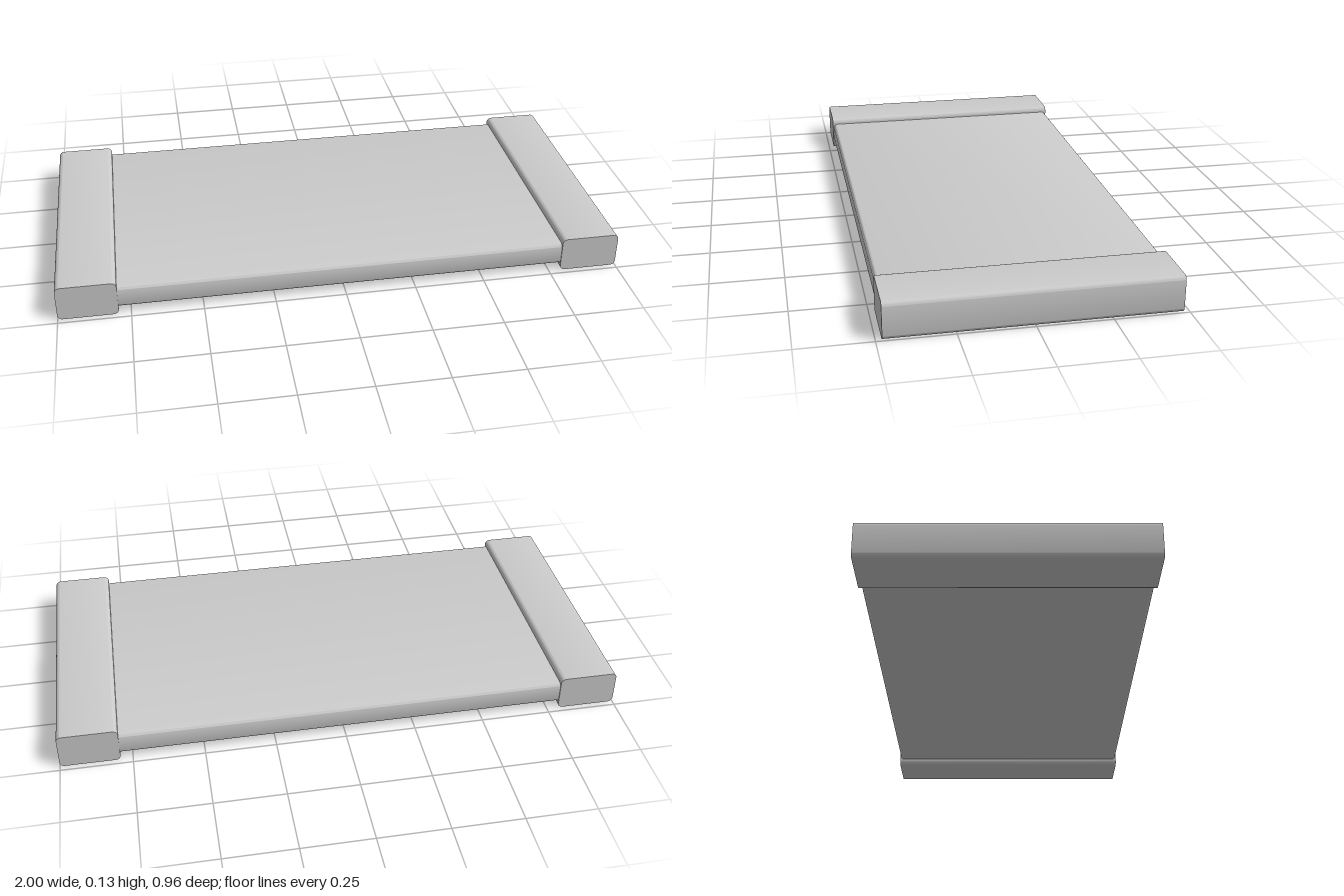
import * as THREE from 'three';
import { toCreasedNormals } from 'three/addons/utils/BufferGeometryUtils.js';

const material = new THREE.MeshStandardMaterial({ color: 0xcccccc });

// Bar with a rounded-rectangle section, centred, running along z
function roundedBar(width, height, length, r) {
  const x = width / 2, y = height / 2;
  const s = new THREE.Shape();
  s.absarc(x - r, y - r, r, 0, Math.PI / 2);
  s.absarc(-x + r, y - r, r, Math.PI / 2, Math.PI);
  s.absarc(-x + r, -y + r, r, Math.PI, Math.PI * 1.5);
  s.absarc(x - r, -y + r, r, Math.PI * 1.5, Math.PI * 2);
  s.closePath();
  const geometry = new THREE.ExtrudeGeometry(s, { depth: length, bevelEnabled: false, curveSegments: 8 });
  geometry.translate(0, 0, -length / 2);
  return toCreasedNormals(geometry, 0.6);
}

export function createModel() {
  const group = new THREE.Group();

  // Thin panel, its long edges rounded, set into the end bars
  const panelGeometry = roundedBar(0.953, 0.082, 1.62, 0.016).rotateY(Math.PI / 2);
  const panel = new THREE.Mesh(panelGeometry, material);
  panel.name = 'panel';
  panel.position.y = 0.065;
  group.add(panel);

  // Thicker end bars
  const barGeometry = roundedBar(0.208, 0.128, 0.96, 0.018);
  for (const side of [1, -1]) {
    const bar = new THREE.Mesh(barGeometry, material);
    bar.name = side > 0 ? 'leftEndBar' : 'rightEndBar';
    bar.position.set(side * 0.896, 0.064, 0);
    group.add(bar);
  }
  return group;
}
